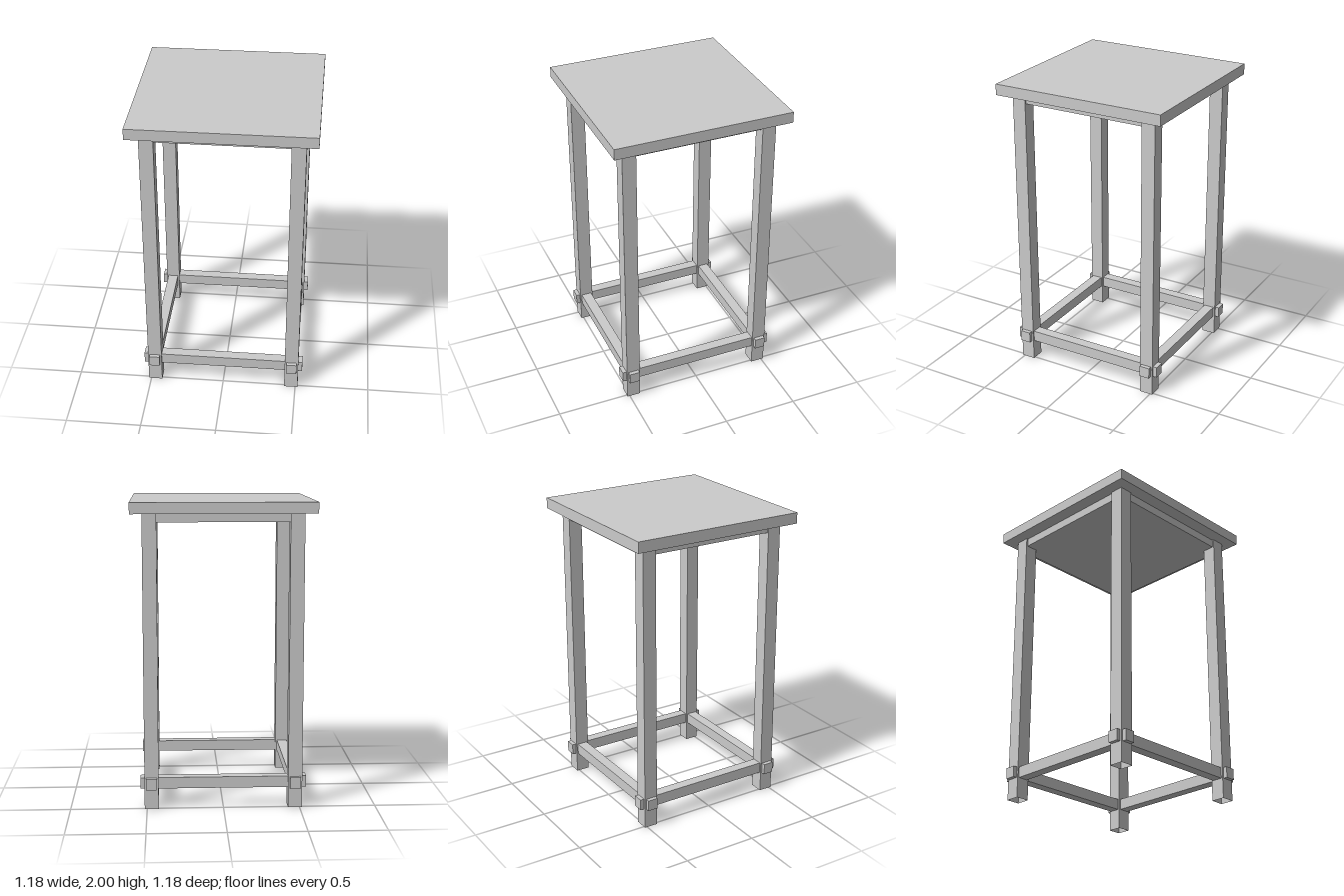
import * as THREE from 'three';

const material = new THREE.MeshStandardMaterial({ color: 0xcccccc, flatShading: true });
const openMaterial = new THREE.MeshStandardMaterial({ color: 0xcccccc, flatShading: true, side: THREE.DoubleSide });

const LEG = 0.092; // leg thickness
const OFFSET = 0.47; // leg centre from the middle
const SEAT_BOTTOM = 1.927;

export function createModel() {
  const group = new THREE.Group();

  function box(name, w, h, d, x, y, z) {
    const mesh = new THREE.Mesh(new THREE.BoxGeometry(w, h, d), material);
    mesh.name = name;
    mesh.position.set(x, y, z);
    group.add(mesh);
  }

  // Seat board and the shallow panel set under it between the legs
  box('seat', 1.184, 2 - SEAT_BOTTOM, 1.184, 0, (2 + SEAT_BOTTOM) / 2, 0);
  box('underSeatPanel', 1.01, SEAT_BOTTOM - 1.87, 1.01, 0, (SEAT_BOTTOM + 1.87) / 2, 0);

  // Square legs, hollow and open at the foot
  const legGeometry = new THREE.CylinderGeometry(LEG / Math.SQRT2, LEG / Math.SQRT2, SEAT_BOTTOM, 4, 1, true);
  legGeometry.rotateY(Math.PI / 4);
  for (const sx of [-1, 1]) {
    for (const sz of [-1, 1]) {
      const leg = new THREE.Mesh(legGeometry, openMaterial);
      leg.name = (sz > 0 ? 'front' : 'back') + (sx > 0 ? 'Left' : 'Right') + 'Leg';
      leg.position.set(sx * OFFSET, SEAT_BOTTOM / 2, sz * OFFSET);
      group.add(leg);
    }
  }

  // Stretchers run through the legs, their ends standing proud
  for (const s of [-1, 1]) {
    box(s > 0 ? 'frontStretcher' : 'backStretcher', 1.086, 0.074, 0.07, 0, 0.173, s * OFFSET);
    box(s > 0 ? 'leftStretcher' : 'rightStretcher', 0.07, 0.074, 1.086, s * OFFSET, 0.173, 0);
  }
  return group;
}
